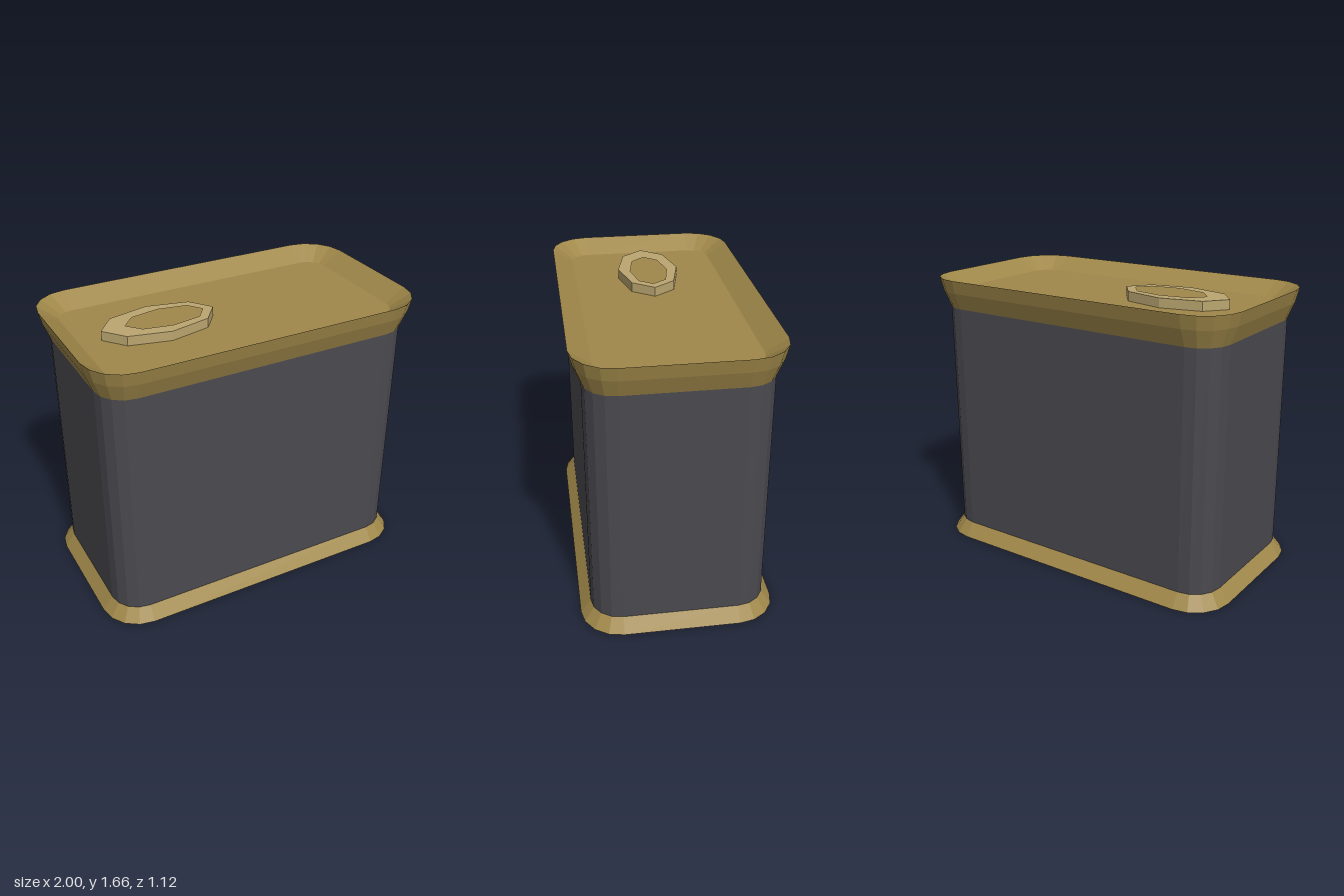
import * as THREE from 'three';

const gold = new THREE.MeshStandardMaterial({ color: 0xa0884a });
gold.name = 'gold metal';
const dark = new THREE.MeshStandardMaterial({ color: 0x4a494f });
dark.name = 'dark label';
const pale = new THREE.MeshStandardMaterial({ color: 0xbba670 });
pale.name = 'pale metal';

// Centres of the rounded corners, shared by every cross-section
const CX = 0.77, CZ = 0.33, STEPS = 4;

// Rounded rectangle at height y; radius null gives a single centre point (a cap)
function section([y, r]) {
  const pts = [];
  [[1, 1], [-1, 1], [-1, -1], [1, -1]].forEach(([sx, sz], q) => {
    for (let i = 0; i <= STEPS; i++) {
      const a = (q + i / STEPS) * Math.PI / 2;
      pts.push(r === null ? [0, y, 0] : [sx * CX + r * Math.cos(a), y, sz * CZ + r * Math.sin(a)]);
    }
  });
  return pts;
}

// Faceted surface through a list of [height, corner radius] sections
function loft(profile) {
  const rings = profile.map(section), pos = [];
  for (let k = 0; k < rings.length - 1; k++) {
    const lo = rings[k], hi = rings[k + 1], n = lo.length;
    for (let j = 0; j < n; j++) {
      const m = (j + 1) % n;
      if (profile[k][1] !== null) pos.push(...lo[j], ...hi[j], ...lo[m]);
      if (profile[k + 1][1] !== null) pos.push(...lo[m], ...hi[j], ...hi[m]);
    }
  }
  const g = new THREE.BufferGeometry();
  g.setAttribute('position', new THREE.Float32BufferAttribute(pos, 3));
  g.computeVertexNormals();
  return g;
}

// Closed outline mirrored across the x axis from its upper half
function mirrored(half) {
  const lower = half.slice(1, -1).reverse().map(([x, z]) => [x, -z]);
  return [...half, ...lower].map(([x, z]) => new THREE.Vector2(x, z));
}

export function createModel() {
  const model = new THREE.Group();
  model.name = 'tinCan';
  const add = (name, geometry, material) => {
    const mesh = new THREE.Mesh(geometry, material);
    mesh.name = name;
    model.add(mesh);
    return mesh;
  };

  // Flared foot with closed underside
  add('base', loft([[0, null], [0, 0.23], [0.08, 0.17]]), gold);

  // Straight can wall
  add('body', loft([[0.08, 0.17], [1.48, 0.17]]), dark);

  // Flared rim, sloping inner wall and recessed lid
  add('lid', loft([[1.48, 0.17], [1.58, 0.21], [1.66, 0.23], [1.58, 0.11], [1.58, null]]), gold);

  // Pull ring lying on the lid
  const ring = new THREE.Shape(mirrored([[-0.76, 0], [-0.66, 0.125], [-0.42, 0.18], [-0.18, 0.125], [-0.085, 0]]));
  ring.holes.push(new THREE.Path(mirrored([[-0.62, 0], [-0.55, 0.08], [-0.38, 0.112], [-0.21, 0.08], [-0.15, 0]])));
  const ringGeo = new THREE.ExtrudeGeometry(ring, { depth: 0.055, bevelEnabled: false });
  ringGeo.rotateX(-Math.PI / 2).translate(0, 1.58, 0);
  add('pullRing', ringGeo, pale);

  return model;
}
